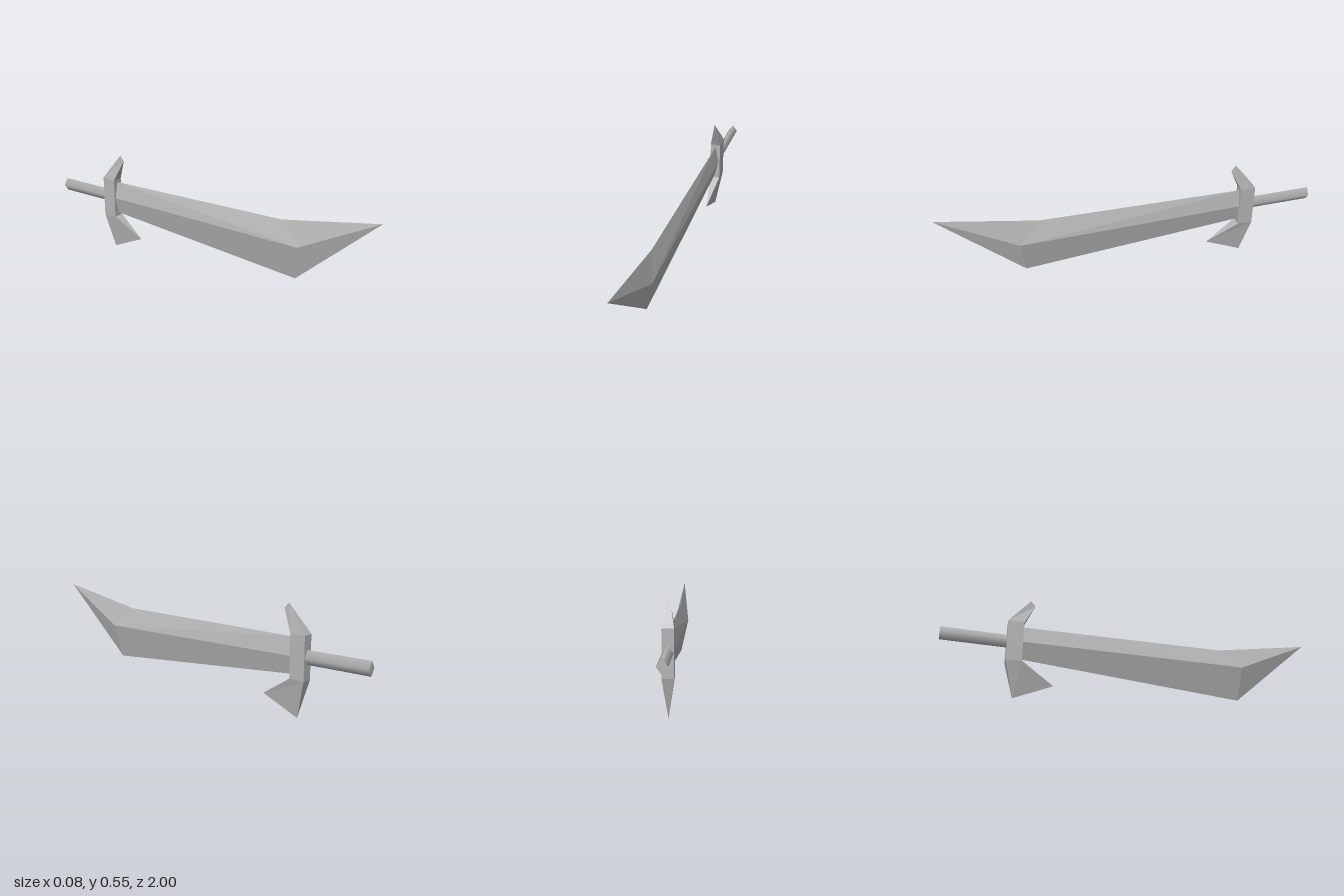
import * as THREE from 'three';

const steel = new THREE.MeshStandardMaterial({ color: 0xb4b4b4 });
steel.name = 'grey steel';

// Builds a faceted solid from the polygons of its +x half, mirrored to -x
function mirroredSolid(name, points, faces) {
  const pos = [];
  const addFace = (corners) => {
    for (let i = 1; i < corners.length - 1; i++) {
      pos.push(...corners[0], ...corners[i], ...corners[i + 1]);
    }
  };
  for (const face of faces) {
    const corners = face.split(' ').map((key) => points[key]);
    addFace(corners);
    addFace(corners.map(([x, y, z]) => [-x, y, z]).reverse());
  }
  const geometry = new THREE.BufferGeometry();
  geometry.setAttribute('position', new THREE.Float32BufferAttribute(pos, 3));
  geometry.computeVertexNormals(); // unshared corners give flat facets
  const mesh = new THREE.Mesh(geometry, steel);
  mesh.name = name;
  return mesh;
}

export function createModel() {
  const sword = new THREE.Group();
  sword.name = 'sword';

  // Blade: diamond section that widens forward, then sweeps up to the tip
  sword.add(mirroredSolid('blade', {
    tip: [0, 0.505, 1],
    spine: [0, 0.413, 0.49],
    ridge: [0.04, 0.306, 0.6],
    belly: [0, 0.125, 0.577],
    baseSpine: [0, 0.397, -0.59],
    baseRidge: [0.02, 0.306, -0.59],
    baseEdge: [0, 0.215, -0.59],
  }, [
    'tip ridge spine',
    'spine ridge baseSpine',
    'ridge baseRidge baseSpine',
    'tip belly ridge',
    'belly baseEdge baseRidge ridge',
    'baseSpine baseRidge baseEdge',
  ]));

  // Guard: square middle, both ends narrowing to forward-swept wedges
  sword.add(mirroredSolid('guard', {
    frontTop: [0.028, 0.413, -0.59],
    frontBottom: [0.028, 0.197, -0.59],
    backTop: [0.028, 0.416, -0.67],
    backBottom: [0.028, 0.194, -0.67],
    midFrontTop: [0, 0.413, -0.59],
    midFrontBottom: [0, 0.197, -0.59],
    midBackTop: [0, 0.416, -0.67],
    midBackBottom: [0, 0.194, -0.67],
    hornFront: [0, 0.528, -0.535],
    hornBack: [0, 0.556, -0.56],
    finFront: [0, 0.09, -0.422],
    finBack: [0, 0.002, -0.622],
  }, [
    'frontBottom backBottom backTop frontTop',
    'frontTop backTop hornBack hornFront',
    'finFront finBack backBottom frontBottom',
    'hornBack backTop midBackTop',
    'midBackTop backTop backBottom midBackBottom',
    'midBackBottom backBottom finBack',
    'hornFront midFrontTop frontTop',
    'midFrontTop midFrontBottom frontBottom frontTop',
    'midFrontBottom finFront frontBottom',
  ]));

  // Grip: four-sided bar standing on its corner, smooth shaded
  const gripGeometry = new THREE.CylinderGeometry(1, 1, 0.33, 4);
  gripGeometry.rotateX(Math.PI / 2);
  gripGeometry.scale(0.025, 0.036, 1);
  const grip = new THREE.Mesh(gripGeometry, steel);
  grip.name = 'grip';
  grip.position.set(0, 0.308, -0.835);
  sword.add(grip);

  return sword;
}
